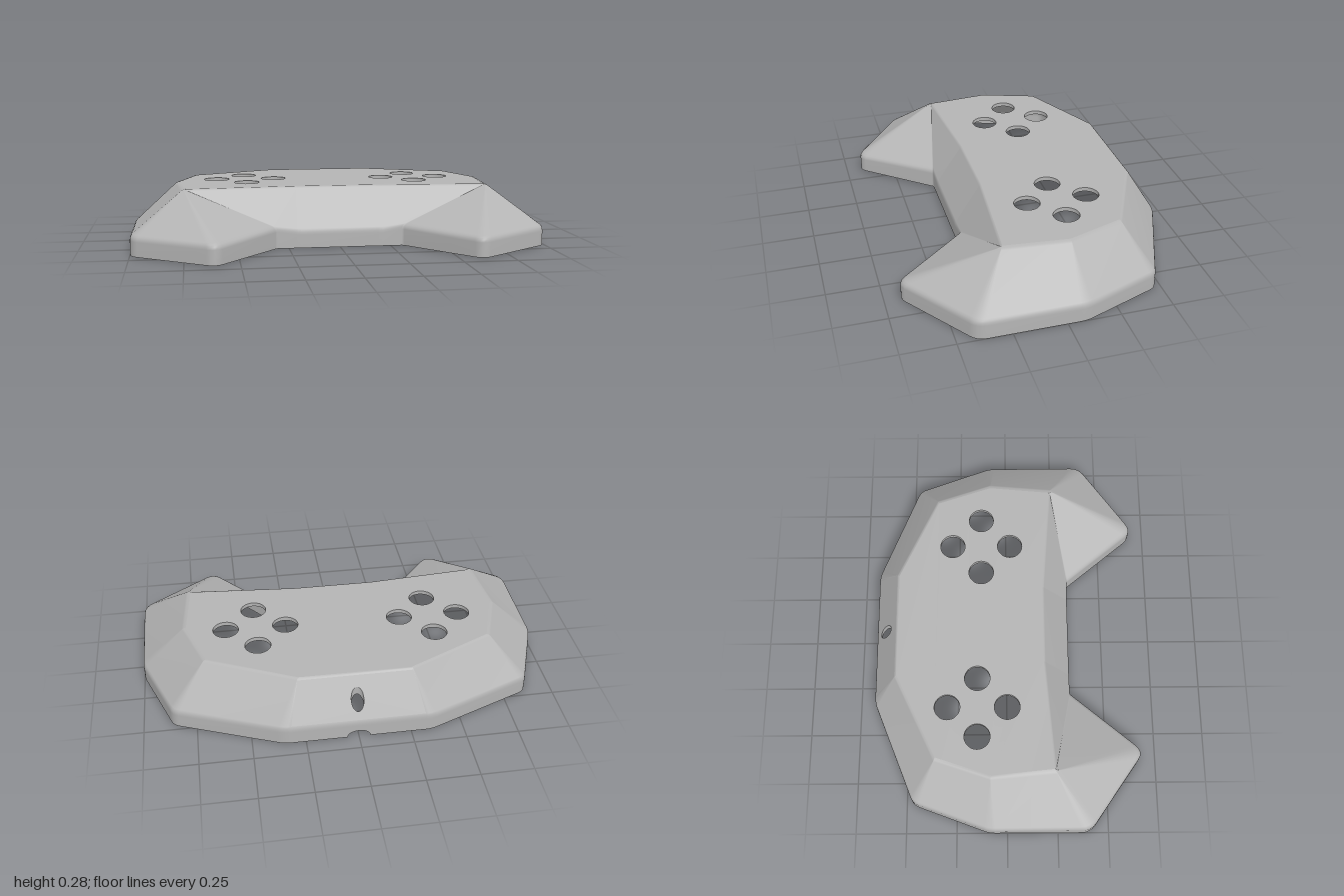
import * as THREE from 'three';
import { mergeVertices, mergeGeometries } from 'three/addons/utils/BufferGeometryUtils.js';

const WALL = 0.02;
const V = (x, y, z) => new THREE.Vector3(x, y, z);

// Half outline, back to front: base x, z; wall height; top x, y, z; corner rounding
const HALF = [
  [0.35, -0.672, 0.085, 0.27, 0.286, -0.55, 0.03],
  [0.86, -0.468, 0.085, 0.69, 0.286, -0.35, 0.03],
  [1.0, -0.09, 0.085, 0.78, 0.286, -0.08, 0.03],
  [1.0, 0.41, 0.09, 0.75, 0.286, 0.232, 0.045],
  [0.61, 0.687, 0.09, 0.75, 0.286, 0.232, 0.05],
  [0.31, 0.322, 0.1, 0.75, 0.286, 0.232, 0.008],
  [0.2, 0.322, 0.085, 0.2, 0.286, 0.188, 0.01],
];
const toCorner = ([x, z, h, tx, ty, tz, r], s) => ({ b: V(s * x, 0, z), h, t: V(s * tx, ty, tz), r });
const CORNERS = [...HALF.map(c => toCorner(c, 1)), ...[...HALF].reverse().map(c => toCorner(c, -1))];

// The same corners moved inward by the wall thickness
function insetCorners(corners) {
  const n = corners.length;
  return corners.map((c, i) => {
    const d1 = c.b.clone().sub(corners[(i + n - 1) % n].b).normalize();
    const d2 = corners[(i + 1) % n].b.clone().sub(c.b).normalize();
    const n1 = V(-d1.z, 0, d1.x), n2 = V(-d2.z, 0, d2.x);
    const b = c.b.clone().addScaledVector(n1.clone().add(n2), WALL / (1 + n1.dot(n2)));
    const t = V(c.t.x * 0.965, c.t.y - WALL, -0.15 + (c.t.z + 0.15) * 0.965);
    return { b, h: c.h - 0.008, t, r: c.r * 0.7 };
  });
}

// Rings of points from the base up to the flat top
function makeRings(corners, bevel) {
  const n = corners.length, rings = Array.from({ length: 9 }, () => []);
  corners.forEach((c, i) => {
    const toward = p => c.b.clone().add(p.clone().sub(c.b).setLength(c.r));
    const arc = new THREE.QuadraticBezierCurve3(
      toward(corners[(i + n - 1) % n].b), c.b, toward(corners[(i + 1) % n].b));
    for (const b of arc.getPoints(4)) {
      const edge = V(b.x, c.h, b.z);
      const low = V(b.x, c.h - 0.02, b.z);
      const capPoint = V(c.t.x * 0.965, c.t.y, -0.15 + (c.t.z + 0.15) * 0.965);
      const lower = new THREE.QuadraticBezierCurve3(low, edge, edge.clone().lerp(c.t, bevel));
      const upper = new THREE.QuadraticBezierCurve3(edge.clone().lerp(c.t, 0.95), c.t, capPoint);
      [b, ...lower.getPoints(3), ...upper.getPoints(3)].forEach((p, k) => rings[k].push(p));
    }
  });
  return rings;
}

function fromTriangles(points) {
  return new THREE.BufferGeometry().setFromPoints(points);
}

// Strip of quads between two rows of points
function strip(low, high, closed) {
  const out = [], n = low.length;
  for (let j = 0; j < (closed ? n : n - 1); j++) {
    const k = (j + 1) % n;
    out.push(low[j], high[j], low[k], low[k], high[j], high[k]);
  }
  return fromTriangles(out);
}

// Flat plate from a 2D outline with holes, placed in space by a rule
function plate(outline, holes, place) {
  const shape = new THREE.Shape(outline);
  shape.holes = holes.map(h => new THREE.Path(h));
  const g = new THREE.ShapeGeometry(shape).toNonIndexed(), p = g.attributes.position, pts = [];
  for (let i = 0; i < p.count; i++) pts.push(place(p.getX(i), p.getY(i)));
  return fromTriangles(pts);
}

const circle = (x, z, r, n = 32) => Array.from({ length: n }, (_, i) => {
  const a = i / n * Math.PI * 2;
  return new THREE.Vector2(x + r * Math.cos(a), -(z + r * Math.sin(a)));
});

// Two diamonds of button holes, the cable hole and the arched notch below it
const BUTTONS = [[-0.432, -0.145], [0.43, -0.127]].flatMap(([x, z]) =>
  [[0, -0.147], [0.147, 0], [0, 0.147], [-0.147, 0]].map(([dx, dz]) => circle(x + dx, z + dz, 0.063)));
const CABLE = circle(0, -0.615, 0.03, 24);
const NOTCH = Array.from({ length: 13 }, (_, i) => {
  const a = i / 12 * Math.PI;
  return new THREE.Vector2(-0.055 * Math.cos(a), 0.035 * Math.sin(a));
});

// One complete skin of the shell
function makeSkin(corners, bevel) {
  const rings = makeRings(corners, bevel), pieces = [], last = rings[0].length - 1;
  for (let k = 0; k < 7; k++) {
    const panel = k === 0 || k === 4; // the back panel of these rows has an opening
    const low = rings[k], high = rings[k + 1];
    pieces.push(strip(low, high, !panel));
  }
  // flat top
  const cap = [];
  for (const p of rings[7]) {
    if (!cap.some(q => q.distanceTo(p) < 1e-4)) cap.push(p);
  }
  const topY = cap[0].y, flat = p => new THREE.Vector2(p.x, -p.z);
  pieces.push(plate(cap.map(flat), BUTTONS, (x, y) => V(x, topY, -y)));
  // back slope with cable hole
  const a = rings[4][0], b = rings[5][0];
  const slopeY = z => a.y + (b.y - a.y) * (z - a.z) / (b.z - a.z);
  pieces.push(plate([rings[4][last], a, b, rings[5][last]].map(flat), [CABLE],
    (x, y) => V(x, slopeY(-y), -y)));
  // back wall with notch
  const w = rings[0][0], top = rings[1][0].y, P = (x, y) => new THREE.Vector2(x, y);
  pieces.push(plate([P(-w.x, 0), ...NOTCH, P(w.x, 0), P(w.x, top), P(-w.x, top)], [],
    (x, y) => V(-x, y, w.z)));
  const geometry = mergeVertices(mergeGeometries(pieces), 1e-4);
  geometry.computeVertexNormals();
  return { geometry, base: rings[0], topY, slopeY, backZ: w.z };
}

function flip(g) {
  const ix = g.index.array;
  for (let i = 0; i < ix.length; i += 3) [ix[i], ix[i + 1]] = [ix[i + 1], ix[i]];
  g.computeVertexNormals();
  return g;
}

export function createModel() {
  const group = new THREE.Group();
  const grey = new THREE.MeshStandardMaterial({ color: 0xb4b4b4, side: THREE.DoubleSide });
  grey.name = 'grey plastic';
  const add = (name, geometry) => {
    if (!geometry.attributes.normal) geometry.computeVertexNormals();
    const mesh = new THREE.Mesh(geometry, grey);
    mesh.name = name;
    group.add(mesh);
  };

  const outer = makeSkin(CORNERS, 0.05);
  const inner = makeSkin(insetCorners(CORNERS), 0.02);
  add('outerShell', outer.geometry);
  add('innerShell', flip(inner.geometry));

  // bottom rim, interrupted at the notch
  const rimRow = s => [V(0.055, 0, s.backZ), ...s.base, V(-0.055, 0, s.backZ)];
  add('bottomRim', strip(rimRow(inner), rimRow(outer), false));

  // edges of the openings through the wall thickness
  BUTTONS.forEach(loop => add('buttonHoleEdge', strip(
    loop.map(p => V(p.x, outer.topY, -p.y)), loop.map(p => V(p.x, inner.topY, -p.y)), true)));
  add('cableHoleEdge', strip(
    CABLE.map(p => V(p.x, outer.slopeY(-p.y), -p.y)),
    CABLE.map(p => V(p.x, inner.slopeY(-p.y), -p.y)), true));
  add('notchEdge', strip(
    NOTCH.map(p => V(p.x, p.y, inner.backZ)), NOTCH.map(p => V(p.x, p.y, outer.backZ)), false));
  return group;
}
